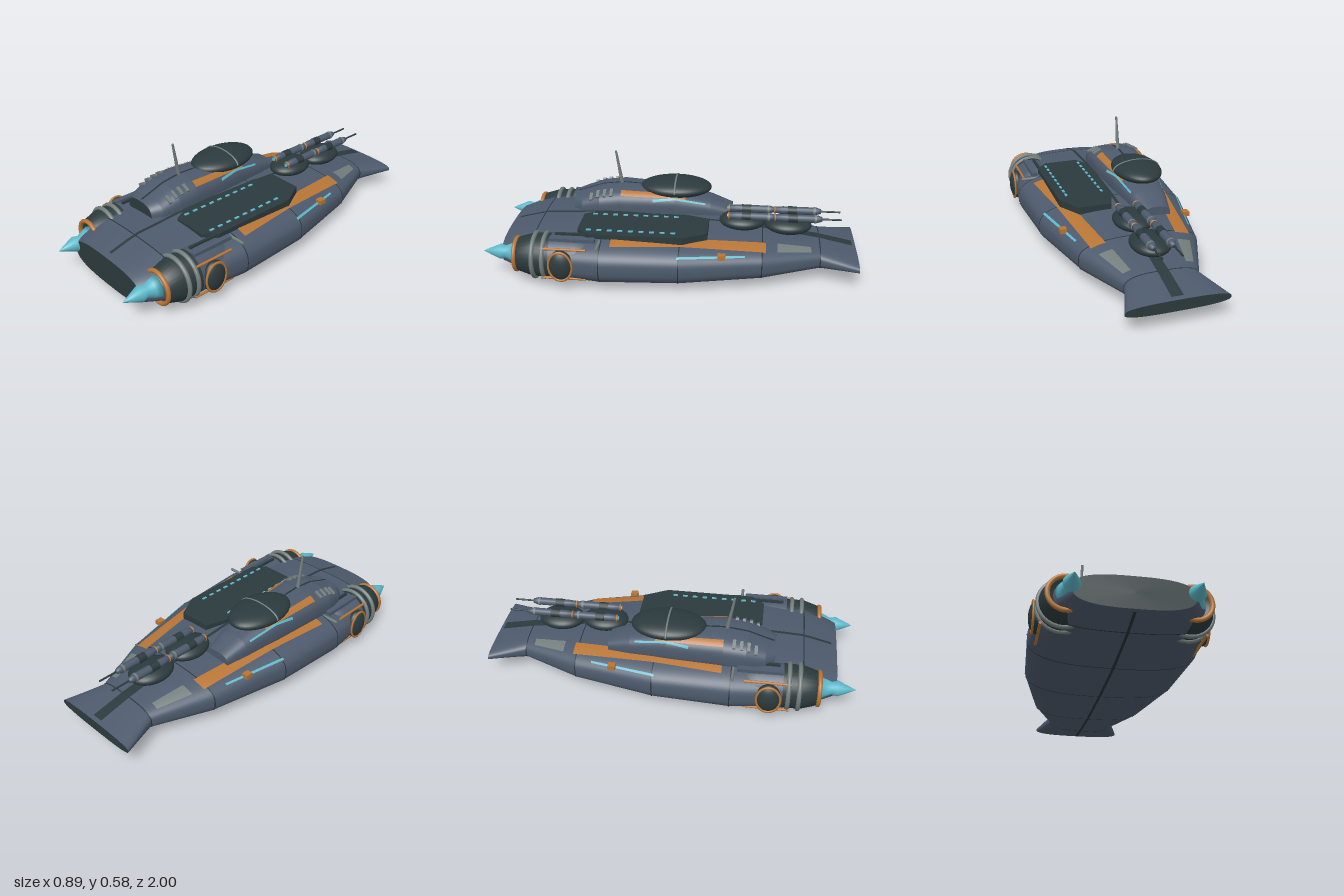
import * as THREE from 'three';

const paint = (name, color) => {
  const m = new THREE.MeshStandardMaterial({ color });
  m.name = name;
  return m;
};
const EXP = 2.8;
const se = (v) => Math.sign(v) * Math.pow(Math.abs(v), 2 / EXP);

// Cross-sections: [z, half width, bottom, top]
const HULL = [
  [-1, 0.26, 0.09, 0.148], [-0.8, 0.19, 0.062, 0.19], [-0.49, 0.318, 0.033, 0.235],
  [-0.06, 0.41, 0.012, 0.27], [0.35, 0.433, 0.005, 0.285], [0.72, 0.395, 0.025, 0.265], [0.9, 0.28, 0.053, 0.217],
];
const CABIN = [
  [-0.32, 0.075, 0.2, 0.29], [-0.2, 0.1, 0.2, 0.335], [0, 0.13, 0.2, 0.385], [0.3, 0.155, 0.2, 0.4],
  [0.42, 0.155, 0.2, 0.385], [0.52, 0.135, 0.2, 0.35], [0.57, 0.1, 0.2, 0.335],
];
const CABIN_X = -0.16;

function sectionAt(st, z) {
  let i = 0;
  while (i < st.length - 2 && z > st[i + 1][0]) i++;
  const f = (z - st[i][0]) / (st[i + 1][0] - st[i][0]);
  return st[i].map((v, k) => v + (st[i + 1][k] - v) * f);
}
function surfaceY(st, x, z, side = 1) {
  const [, w, y0, y1] = sectionAt(st, z);
  const r = Math.min(Math.abs(x) / w, 1);
  return (y0 + y1) / 2 + side * (y1 - y0) / 2 * Math.pow(1 - Math.pow(r, EXP), 1 / EXP);
}
function geometry(pos, idx) {
  const g = new THREE.BufferGeometry();
  g.setAttribute('position', new THREE.Float32BufferAttribute(pos, 3));
  g.setIndex(idx);
  g.computeVertexNormals();
  return g;
}
const point = ([z, w, y0, y1], t) =>
  [w * se(Math.cos(t)), (y0 + y1) / 2 + (y1 - y0) / 2 * se(Math.sin(t)), z];

// Skin smooth around the body, creased at each station
function loft(st, n = 72) {
  const pos = [], idx = [];
  for (let s = 0; s < st.length - 1; s++) {
    const base = pos.length / 3;
    for (const sec of [st[s], st[s + 1]])
      for (let i = 0; i < n; i++) pos.push(...point(sec, i / n * Math.PI * 2));
    for (let i = 0; i < n; i++) {
      const a = base + i, b = base + (i + 1) % n;
      idx.push(a, b, a + n, b, b + n, a + n);
    }
  }
  return geometry(pos, idx);
}
function endCap(sec, front, n = 72) {
  const pos = [0, (sec[2] + sec[3]) / 2, sec[0]], idx = [];
  for (let i = 0; i < n; i++) {
    pos.push(...point(sec, i / n * Math.PI * 2));
    const a = 1 + i, b = 1 + (i + 1) % n;
    idx.push(0, front ? a : b, front ? b : a);
  }
  return geometry(pos, idx);
}
// Painted strip that hugs a skin, from [z, xa, xb] to [z, xa, xb]
function strip(st, p, q, side = 1, lift = 0.004) {
  const pos = [], idx = [], nz = 24, nx = 4;
  for (let j = 0; j <= nz; j++) for (let i = 0; i <= nx; i++) {
    const f = j / nz, z = p[0] + (q[0] - p[0]) * f;
    const xa = p[1] + (q[1] - p[1]) * f, xb = p[2] + (q[2] - p[2]) * f;
    const x = xa + (xb - xa) * i / nx;
    pos.push(x, surfaceY(st, x, z, side) + lift * side, z);
    if (i < nx && j < nz) {
      const a = j * (nx + 1) + i, b = a + 1, c = a + nx + 1, d = c + 1;
      if (side > 0) idx.push(a, c, b, b, c, d);
      else idx.push(a, b, c, b, d, c);
    }
  }
  return geometry(pos, idx);
}
const mirrored = (st, s, p, q) => strip(st,
  s > 0 ? p : [p[0], -p[2], -p[1]], s > 0 ? q : [q[0], -q[2], -q[1]]);
// Turned shape along z from [radius, z] points
const turned = (pts, n = 32) =>
  new THREE.LatheGeometry(pts.map(([r, z]) => new THREE.Vector2(r, z)), n).rotateX(Math.PI / 2);

export function createModel() {
  const model = new THREE.Group();
  const hullBlue = paint('hullBlue', 0x4d5a6c), dark = paint('darkSlate', 0x2c3a3d), copper = paint('copper', 0xb87535);
  const cyan = paint('glowCyan', 0x5cb8c9), grey = paint('steelGrey', 0x727d7c), seam = paint('seam', 0x2a333c);
  const add = (name, geo, mat, x = 0, y = 0, z = 0, parent = model) => {
    const m = new THREE.Mesh(geo, mat);
    m.name = name;
    m.position.set(x, y, z);
    parent.add(m);
    return m;
  };
  const box = (w, h, d) => new THREE.BoxGeometry(w, h, d);
  const ball = (x, y, z) => new THREE.SphereGeometry(1, 40, 24).scale(x, y, z);
  const rod = (r, l) => new THREE.CylinderGeometry(r, r, l, 12).rotateX(Math.PI / 2);

  // Hull, end plates and panel seams
  add('hull', loft(HULL), hullBlue);
  add('sternPlate', endCap(HULL[6], true), dark);
  add('bowPlate', endCap(HULL[0], false), dark);
  for (const z of [-0.8, -0.49, -0.06, 0.35, 0.72]) {
    const ring = [z - 0.003, z, z + 0.003].map((v) => {
      const [, w, a, b] = sectionAt(HULL, v);
      return [v, w + 0.002, a - 0.002, b + 0.002];
    });
    add('hullSeam', loft(ring), seam);
  }
  add('bowSpine', strip(HULL, [-0.98, -0.03, 0.03], [-0.45, -0.025, 0.025]), dark);
  add('spine', strip(HULL, [-0.45, -0.009, 0.009], [0.87, -0.009, 0.009]), dark);
  add('keelSeam', strip(HULL, [-0.98, -0.007, 0.007], [0.88, -0.007, 0.007], -1, 0.002), seam);

  // Paired hull markings and side equipment
  for (const s of [1, -1]) {
    add('hullStripe', mirrored(HULL, s, [-0.51, 0.185, 0.262], [0.3, 0.295, 0.357]), copper);
    add('bowPatch', mirrored(HULL, s, [-0.75, 0.14, 0.18], [-0.57, 0.17, 0.24]), grey);
    add('sideLight', mirrored(HULL, s, [-0.4, 0.302, 0.312], [-0.05, 0.378, 0.389]), cyan);
    add('sideClamp', box(0.035, 0.025, 0.04), copper, s * 0.34, 0.213, -0.28);
    add('sidePod', ball(0.04, 0.085, 0.065), dark, s * 0.405, 0.155, 0.55);
    add('podBand', new THREE.TorusGeometry(0.062, 0.006, 8, 32).scale(1, 1.3, 1).rotateY(Math.PI / 2),
      copper, s * 0.424, 0.155, 0.55);
    for (const [x, y] of [[0.385, 0.236], [0.395, 0.073]])
      add('fuelPipe', rod(0.007, 0.24), copper, s * x, y, 0.54);
    add('crossPipe', rod(0.008, 0.1).rotateY(Math.PI / 2), grey, s * 0.36, 0.255, 0.36);
    add('nacelleRail', box(0.03, 0.02, 0.24), hullBlue, s * 0.33, 0.268, 0.5);
    add('nacelleSlot', box(0.014, 0.012, 0.2), dark, s * 0.285, 0.278, 0.5);

    // Engine
    const engine = new THREE.Group();
    engine.name = 'engine';
    engine.position.set(s * 0.295, 0.155, 0);
    model.add(engine);
    add('nacelle', turned([[0, 0.34], [0.09, 0.36], [0.115, 0.48], [0.118, 0.62]]), hullBlue, 0, 0, 0, engine);
    add('engineCowl', turned([[0.118, 0.62], [0.115, 0.72], [0.09, 0.8], [0.07, 0.8], [0.05, 0.78], [0, 0.78]]),
      dark, 0, 0, 0, engine);
    for (const z of [0.65, 0.705])
      add('engineRing', new THREE.TorusGeometry(0.118, 0.012, 10, 48), grey, 0, 0, z, engine);
    add('nozzleRing', new THREE.TorusGeometry(0.086, 0.012, 10, 48), copper, 0, 0, 0.808, engine);
    add('exhaust', turned([[0, 0.8], [0.062, 0.81], [0.05, 0.84], [0.034, 0.875], [0.041, 0.905], [0.018, 0.96], [0, 1]]),
      cyan, -s * 0.012, 0, 0, engine);
  }

  // Landing deck with lights
  const deck = new THREE.Shape([[0.05, 0.2], [0.01, 0.08], [0.01, -0.42], [0.05, -0.49], [0.24, -0.49],
    [0.3, -0.42], [0.3, 0.07], [0.23, 0.2]].map(([x, y]) => new THREE.Vector2(x, y)));
  add('landingDeck', new THREE.ExtrudeGeometry(deck, { depth: 0.05, bevelEnabled: false }).rotateX(-Math.PI / 2),
    dark, 0, 0.239, 0);
  for (const x of [0.05, 0.25]) for (let i = 0; i < 9; i++)
    add('deckLight', box(0.012, 0.006, 0.026), cyan, x, 0.291, -0.02 + i * 0.056);

  // Cabin
  const cabin = new THREE.Group();
  cabin.name = 'cabin';
  cabin.position.x = CABIN_X;
  model.add(cabin);
  add('cabinShell', loft(CABIN), hullBlue, 0, 0, 0, cabin);
  add('cabinWindow', endCap(CABIN[6], true), dark, 0, 0, 0, cabin);
  add('cabinBack', endCap(CABIN[0], false), hullBlue, 0, 0, 0, cabin);
  add('cabinSpine', strip(CABIN, [0.2, -0.006, 0.006], [0.56, -0.006, 0.006], 1, 0.002), seam, 0, 0, 0, cabin);
  for (const s of [1, -1]) {
    add('cabinStripe', mirrored(CABIN, s, [-0.06, 0.085, 0.11], [0.3, 0.1, 0.135]), copper, 0, 0, 0, cabin);
    add('cabinLight', mirrored(CABIN, s, [-0.17, 0.088, 0.095], [0.12, 0.129, 0.136]), cyan, 0, 0, 0, cabin);
    for (let i = 0; i < 4; i++) {
      const z = 0.355 + i * 0.038;
      const vent = add('vent', box(0.05, 0.016, 0.017), grey, s * 0.113, surfaceY(CABIN, 0.113, z), z, cabin);
      vent.rotation.z = -s * 0.5;
    }
  }
  add('dome', ball(0.13, 0.05, 0.2), dark, 0, 0.39, 0, cabin);
  add('domeArch', new THREE.TorusGeometry(0.13, 0.005, 8, 48, Math.PI).scale(1, 0.4, 1), grey, 0, 0.39, 0, cabin);
  const mast = add('antenna', new THREE.CylinderGeometry(0.006, 0.011, 0.2, 12), grey, 0, 0.488, 0.325, cabin);
  mast.rotation.x = 0.16;

  // Twin-barrel turrets
  for (const [z, y] of [[-0.38, 0.27], [-0.63, 0.255]]) {
    const turret = new THREE.Group();
    turret.name = 'turret';
    turret.position.z = z;
    model.add(turret);
    add('turretBase', ball(0.1, 0.045, 0.127), dark, 0, y, 0, turret);
    for (const x of [-0.05, 0.05]) {
      const part = (name, geo, mat, dz) => add(name, geo, mat, x, 0.315, dz, turret);
      part('barrelBody', turned([[0, -0.18], [0.013, -0.175], [0.021, -0.15], [0.021, 0.03], [0.017, 0.08], [0, 0.08]], 16), hullBlue, 0);
      part('barrelBreech', rod(0.023, 0.05), dark, -0.02);
      part('barrelCollar', rod(0.023, 0.012), grey, -0.14);
      part('barrelBand', new THREE.TorusGeometry(0.016, 0.005, 8, 20), copper, 0.075);
      part('barrelGlow', rod(0.011, 0.01), cyan, 0.08);
      part('muzzle', rod(0.005, 0.12), dark, -0.22);
      add('barrelMount', box(0.015, 0.04, 0.06), dark, x, 0.29, -0.02, turret);
    }
  }
  return model;
}
